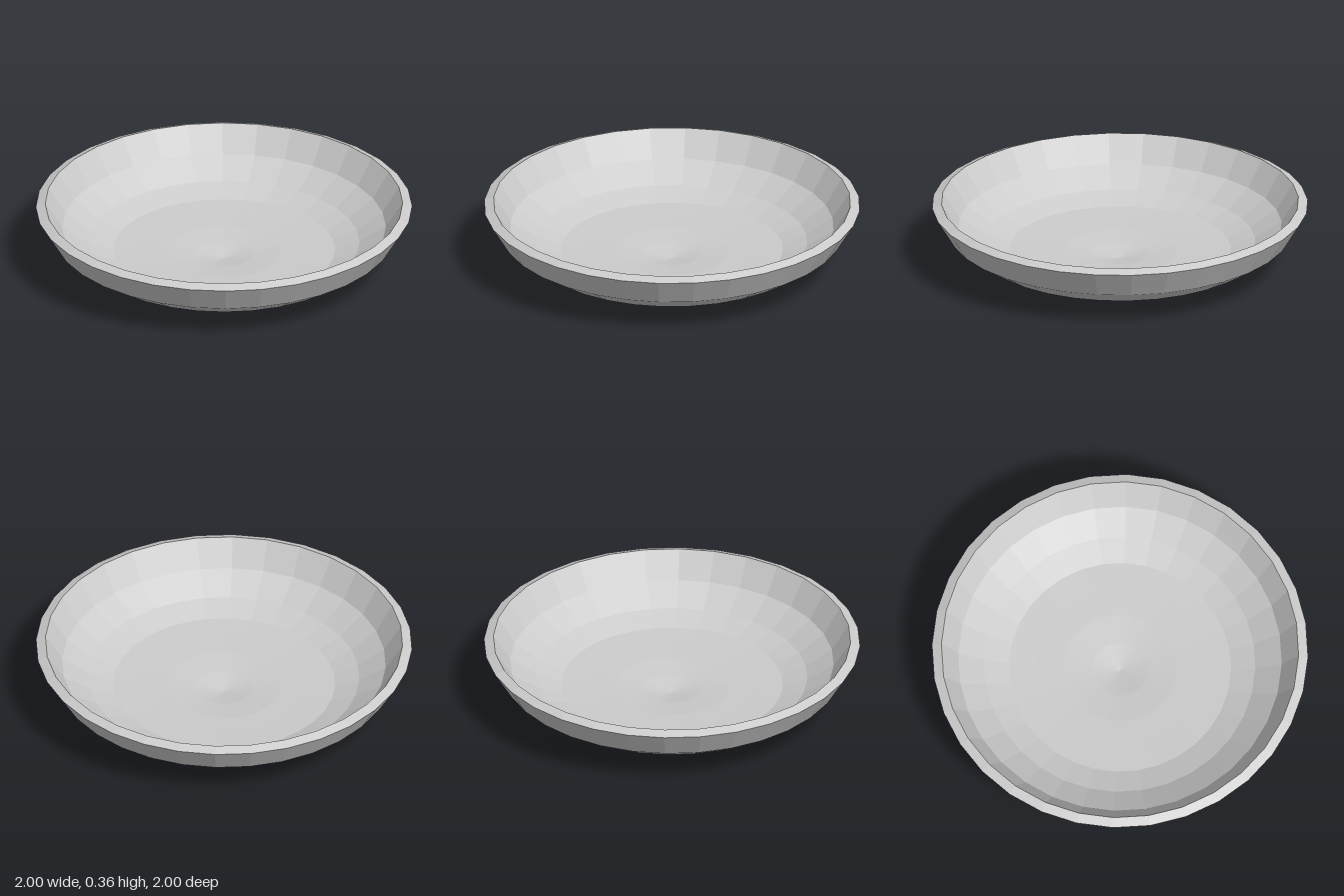
import * as THREE from 'three';

export function createModel() {
  const group = new THREE.Group();
  group.name = 'shallowBowl';

  // Cross-section [radius, height]: up the outside, over the rim, down the inside
  const outside = [[0, 0], [0.15, 0.027], [0.29, 0.045], [0.45, 0.047], [0.615, 0.052], [0.76, 0.095], [0.91, 0.19], [1, 0.34]];
  const inside = [[0.95, 0.36], [0.86, 0.22], [0.72, 0.13], [0.59, 0.086], [0.45, 0.079], [0.3, 0.073], [0.15, 0.058], [0, 0.032]];
  const profile = [...outside, ...inside].map(([r, y]) => new THREE.Vector2(r, y));

  const bowl = new THREE.Mesh(
    new THREE.LatheGeometry(profile, 32),
    new THREE.MeshStandardMaterial({ color: 0xcccccc, flatShading: true })
  );
  bowl.name = 'bowl';
  group.add(bowl);
  return group;
}
